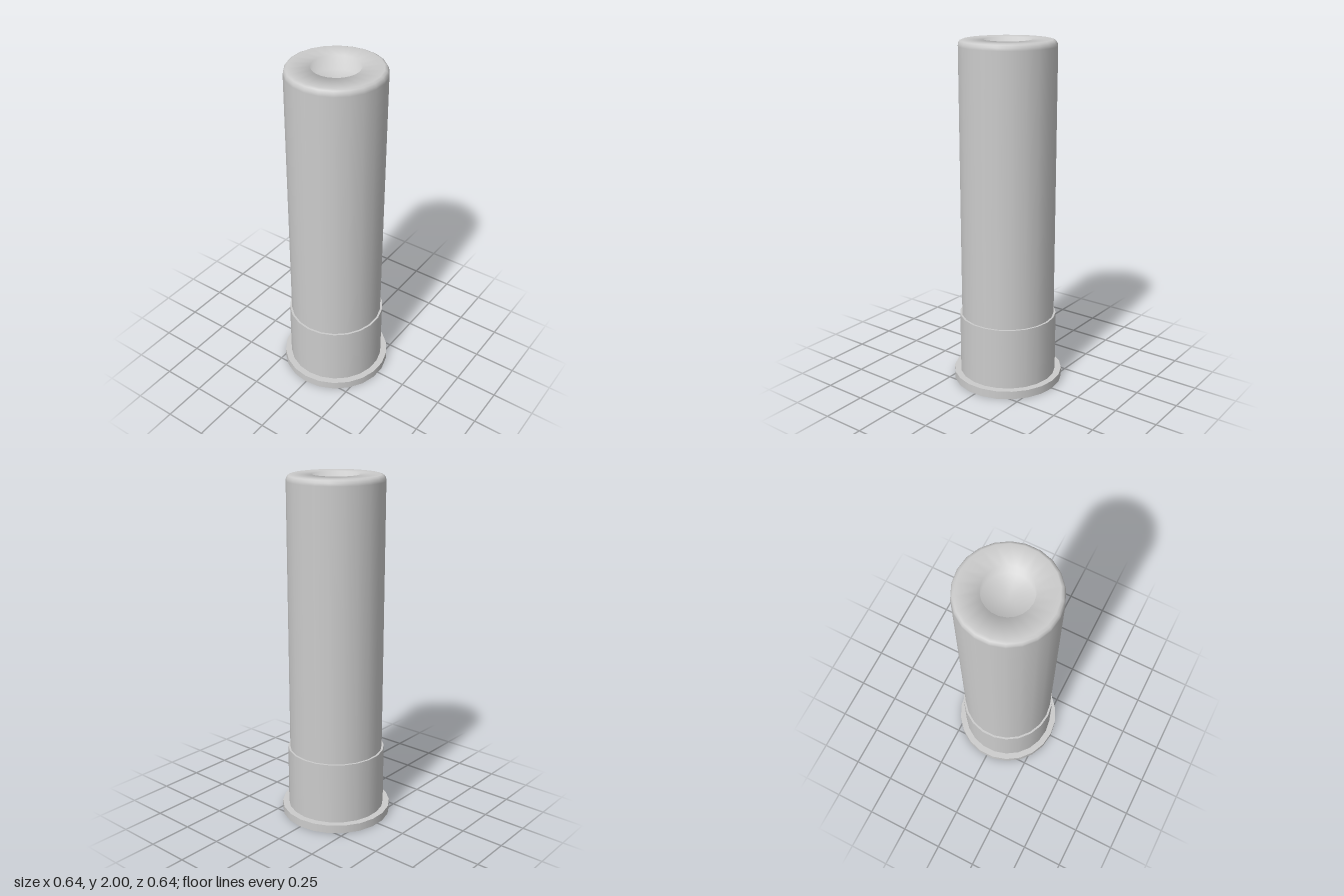
import * as THREE from 'three';

const SIDES = 22;

export function createModel() {
  const group = new THREE.Group();
  const material = new THREE.MeshStandardMaterial({ color: 0xcccccc });

  // Turned part: profile of [radius, height] running from the bottom outward and up
  const turn = (name, profile) => {
    const points = profile.map(([r, y]) => new THREE.Vector2(r, y));
    const mesh = new THREE.Mesh(new THREE.LatheGeometry(points, SIDES), material);
    mesh.name = name;
    group.add(mesh);
  };

  // Long tube with a rounded lip and a shallow round recess in its top
  turn('tube', [
    [0.272, 0.4], [0.272, 1.965], [0.27, 1.98], [0.262, 1.994], [0.248, 2],
    [0.133, 2], [0.133, 1.92], [0, 1.92],
  ]);

  // Sleeve around the foot of the tube, with its narrow top ledge
  turn('sleeve', [[0.284, 0.045], [0.284, 0.41]]);
  turn('sleeveLedge', [[0.284, 0.41], [0.27, 0.41]]);

  // Base flange: underside with a round recess, edge and upper face
  turn('baseUnderside', [[0, 0.08], [0.133, 0.08], [0.133, 0], [0.322, 0]]);
  turn('flangeEdge', [[0.322, 0], [0.322, 0.048]]);
  turn('flangeTop', [[0.322, 0.048], [0.28, 0.048]]);

  return group;
}
